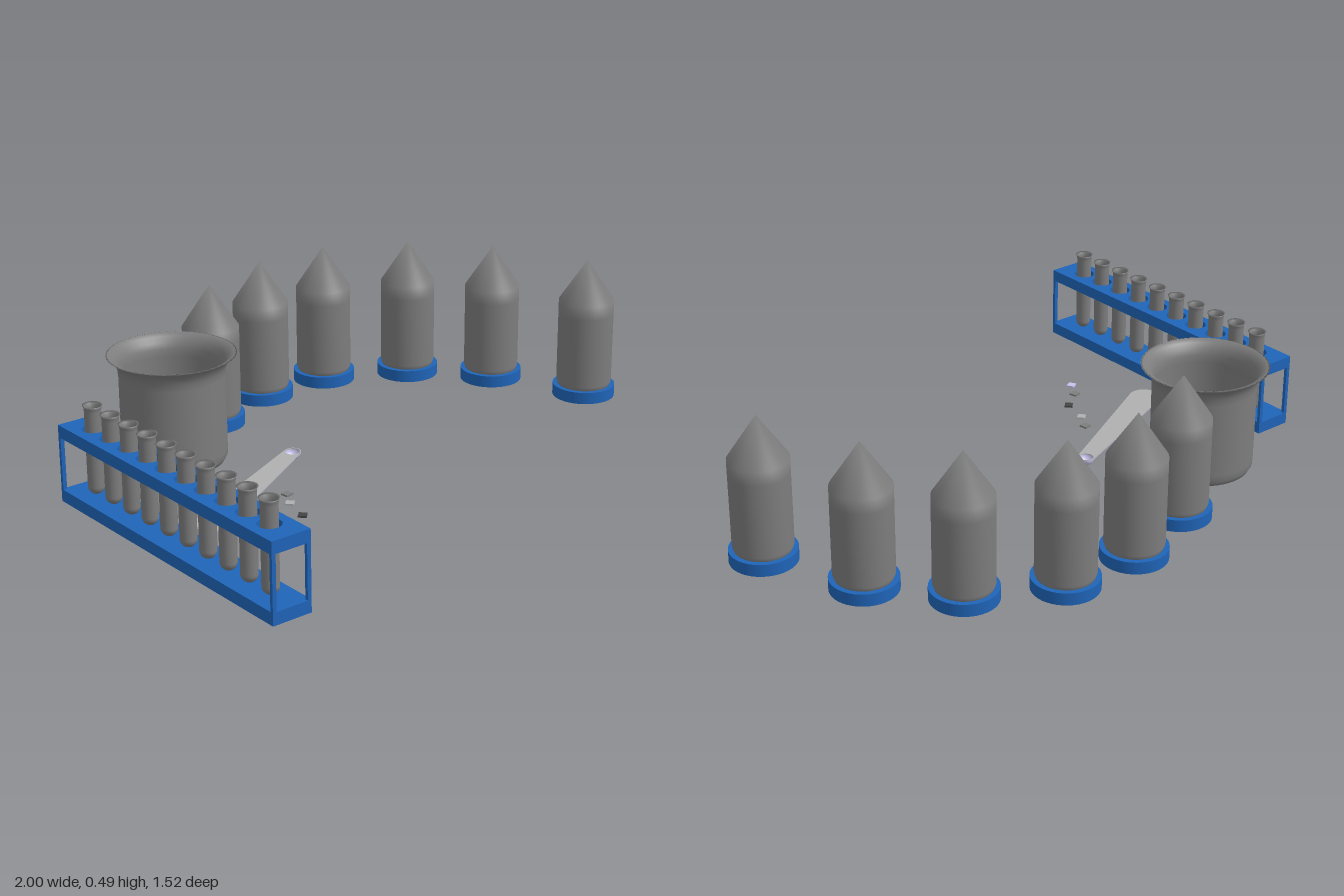
import * as THREE from 'three';
import { mergeVertices } from 'three/addons/utils/BufferGeometryUtils.js';

const mat = (color) => new THREE.MeshStandardMaterial({ color, side: THREE.DoubleSide });
const grey = mat(0x7d7d7d), paleGrey = mat(0xb0b0b0), dark = mat(0x444444);
const blue = mat(0x1f64b8), lavender = mat(0xc6c2ec), water = mat(0x6693ea);

function add(parent, name, geometry, material, x = 0, y = 0, z = 0) {
  const mesh = new THREE.Mesh(geometry, material);
  mesh.name = name;
  mesh.position.set(x, y, z);
  parent.add(mesh);
  return mesh;
}
const lathe = (points, sides) => new THREE.LatheGeometry(points.map(([r, y]) => new THREE.Vector2(r, y)), sides);

// Weld a lathe so that shading runs smoothly over shoulder and tip
function welded(geometry) {
  geometry.deleteAttribute('normal');
  geometry.deleteAttribute('uv');
  const result = mergeVertices(geometry, 1e-4);
  result.computeVertexNormals();
  return result;
}

// Horizontal slab from an outline drawn in x and -z
function slab(shape, depth) {
  return new THREE.ExtrudeGeometry(shape, { depth, bevelEnabled: false, curveSegments: 16 }).rotateX(-Math.PI / 2);
}

function createRack() {
  const rack = new THREE.Group();
  rack.name = 'testTubeRack';
  rack.position.set(-0.934, 0, 0.22);
  const w = 0.132, l = 1.08, count = 10;
  const tubeZ = (i) => (i - (count - 1) / 2) * 0.0985;

  add(rack, 'rackBase', new THREE.BoxGeometry(w, 0.04, l), blue, 0, 0.02, 0);

  // Shelf pierced for the tubes
  const shape = new THREE.Shape([[-w / 2, -l / 2], [w / 2, -l / 2], [w / 2, l / 2], [-w / 2, l / 2]]
    .map(([x, y]) => new THREE.Vector2(x, y)));
  for (let i = 0; i < count; i++) {
    shape.holes.push(new THREE.Path().absarc(0, tubeZ(i), 0.036, 0, Math.PI * 2, true));
  }
  add(rack, 'rackShelf', slab(shape, 0.04), blue, 0, 0.212, 0);

  // Corner posts
  for (const sx of [-1, 1]) for (const sz of [-1, 1]) {
    add(rack, 'rackPost', new THREE.BoxGeometry(0.013, 0.18, 0.011), blue,
      sx * (w / 2 - 0.0065), 0.126, sz * (l / 2 - 0.0055));
  }

  // Open test tubes with round bottoms and flared lips
  const outer = [];
  for (let i = 0; i <= 6; i++) {
    const a = (i / 6) * Math.PI / 2;
    outer.push([0.026 * Math.sin(a), 0.066 - 0.026 * Math.cos(a)]);
  }
  const tube = lathe([...outer, [0.026, 0.31], [0.027, 0.322], [0.031, 0.33],
    [0.025, 0.326], [0.022, 0.31], [0.022, 0.066], [0.015, 0.051], [0, 0.045]], 24);
  for (let i = 0; i < count; i++) add(rack, 'testTube', tube, grey, 0, 0, tubeZ(i));
  return rack;
}

function createBeaker() {
  const beaker = new THREE.Group();
  beaker.name = 'beaker';
  beaker.position.set(-0.553, 0, -0.36);
  add(beaker, 'beakerGlass', lathe([
    [0, 0.004], [0.145, 0.004], [0.16, 0.01], [0.169, 0.027], [0.17, 0.05], [0.17, 0.3], [0.172, 0.325],
    [0.18, 0.345], [0.192, 0.36], [0.208, 0.37], [0.202, 0.371], [0.185, 0.363], [0.172, 0.345],
    [0.165, 0.325], [0.163, 0.3], [0.163, 0.04], [0.15, 0.015], [0, 0.012]], 48), grey);
  add(beaker, 'liquid', new THREE.CylinderGeometry(0.162, 0.155, 0.08, 48), water, 0, 0.06, 0);
  return beaker;
}

// Pointed cylinder standing in a round foot
function createVial(x, z) {
  const vial = new THREE.Group();
  vial.name = 'pointedVial';
  vial.position.set(x, 0, z);
  add(vial, 'vialBody', welded(lathe([[0, 0.02], [0.08, 0.02], [0.09, 0.04], [0.095, 0.055], [0.095, 0.3],
    [0.095, 0.346], [0, 0.49]], 40)), grey);
  add(vial, 'vialFoot', new THREE.CylinderGeometry(0.1075, 0.1075, 0.041, 40), blue, 0, 0.0205, 0);
  return vial;
}

function createSpoon() {
  const spoon = new THREE.Group();
  spoon.name = 'spoon';
  const length = 0.55, wide = 0.055, narrow = 0.028;
  spoon.position.set(-0.753, 0.006, 0.123);
  spoon.rotation.set(0, Math.atan2(0.245, 0.495), 0.04, 'YZX');

  // Tapered flat handle with rounded ends, open above the bowl
  const tilt = Math.acos((wide - narrow) / length);
  const outline = new THREE.Shape();
  outline.absarc(0, 0, wide, tilt, Math.PI * 2 - tilt, false);
  outline.absarc(length, 0, narrow, -tilt, tilt, false);
  outline.closePath();
  outline.holes.push(new THREE.Path().absarc(length, 0, 0.024, 0, Math.PI * 2, true));
  add(spoon, 'spoonUnderside', slab(outline, 0.002), lavender);
  add(spoon, 'spoonHandle', slab(outline, 0.002), paleGrey, 0, 0.002, 0);

  // Small open bowl at the narrow end
  const bowl = new THREE.SphereGeometry(0.027, 24, 10, 0, Math.PI * 2, Math.PI / 2, Math.PI / 2);
  add(spoon, 'spoonBowl', bowl, lavender, length, 0.0035, 0);
  return spoon;
}

function createCrystals() {
  const crystals = new THREE.Group();
  crystals.name = 'crystals';
  const spots = [[-0.614, 0.36, 0.5, lavender], [-0.578, 0.3, 0.2, grey], [-0.502, 0.245, 0.8, dark],
    [-0.478, 0.15, 0.7, paleGrey], [-0.443, 0.09, 0.15, grey]];
  for (const [x, z, turn, material] of spots) {
    add(crystals, 'crystal', new THREE.BoxGeometry(0.027, 0.006, 0.027), material, x, 0.005, z).rotation.y = turn;
  }
  return crystals;
}

export function createModel() {
  const model = new THREE.Group();
  model.name = 'laboratorySet';
  model.add(createRack(), createBeaker(), createSpoon(), createCrystals());
  // Vials in an arc
  const vials = [[-0.267, -0.553], [0.012, -0.6525], [0.287, -0.6525], [0.558, -0.512], [0.753, -0.281], [0.8925, 0.047]];
  for (const [x, z] of vials) model.add(createVial(x, z));
  return model;
}
